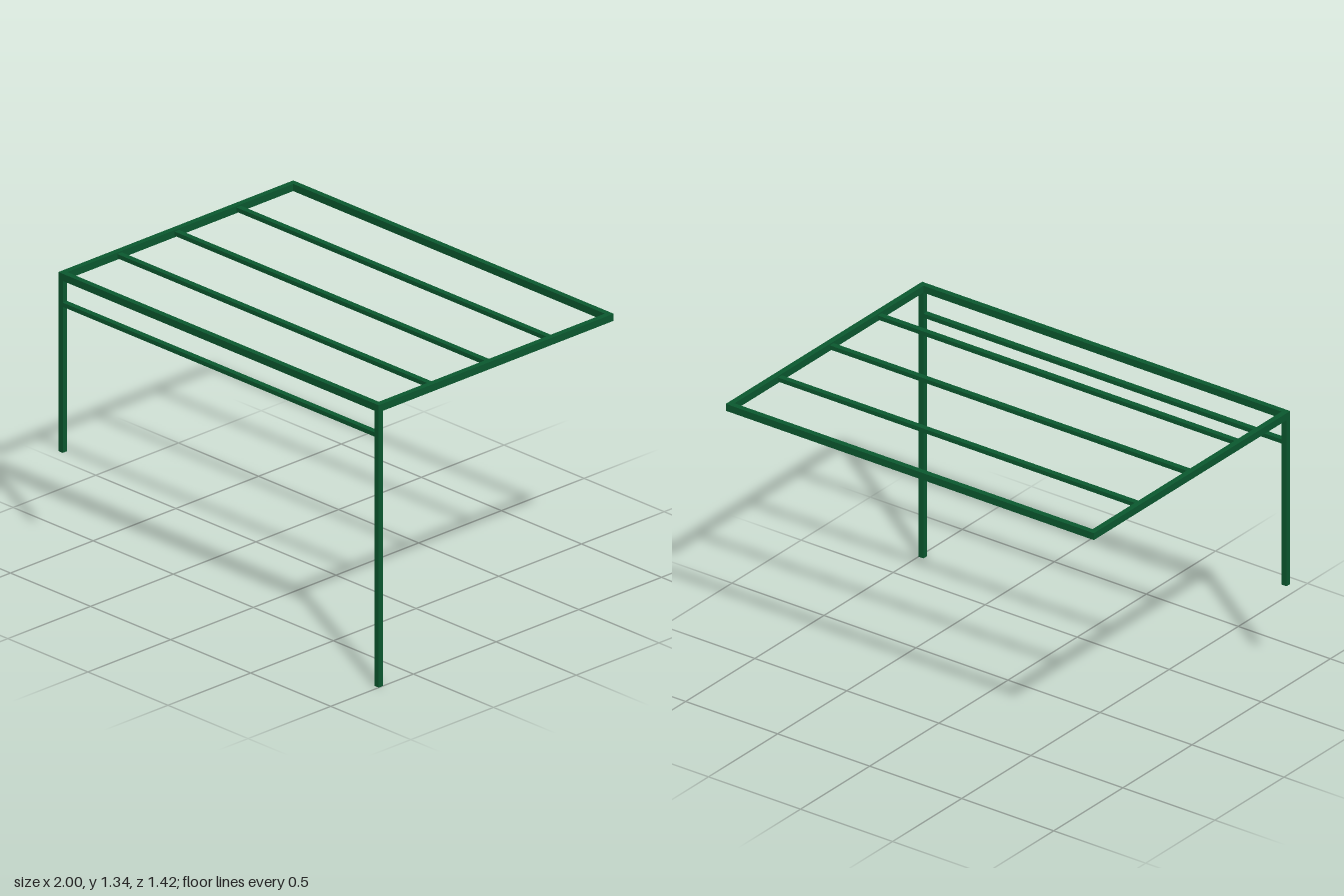
import * as THREE from 'three';

export function createModel() {
  const group = new THREE.Group();
  const green = new THREE.MeshStandardMaterial({ color: 0x0b5a30 });

  const W = 0.027;              // tube width
  const H = 0.034;              // roof frame height
  const BAR = 0.02;             // thin bar height
  const TOP = 1.34, DEPTH = 1.42;
  const under = TOP - H;        // underside of the roof frame
  const xEdge = 1 - W / 2, zEdge = DEPTH / 2 - W / 2;
  const inner = 2 - 2 * W;      // clear span between side members

  const box = (name, w, h, d, x, y, z) => {
    const mesh = new THREE.Mesh(new THREE.BoxGeometry(w, h, d), green);
    mesh.name = name;
    mesh.position.set(x, y, z);
    group.add(mesh);
  };

  // Roof frame: side beams run full depth, end beams fit between them
  for (const s of [-1, 1]) {
    box(s > 0 ? 'leftRoofBeam' : 'rightRoofBeam', W, H, DEPTH, s * xEdge, TOP - H / 2, 0);
    box(s > 0 ? 'frontRoofBeam' : 'backRoofBeam', inner, H, W, 0, TOP - H / 2, s * zEdge);
  }

  // Roof slats
  [-0.354, 0.02, 0.367].forEach((z, i) =>
    box(`roofSlat${i + 1}`, inner, BAR, W, 0, TOP - H / 2, z));

  // Front legs of unequal length: the right one stops above the ground
  const leg = (name, x, foot) =>
    box(name, W, under - foot, W, x, (under + foot) / 2, zEdge);
  leg('leftLeg', xEdge, 0);
  leg('rightLeg', -xEdge, 0.49);

  // Rail between the legs
  box('frontRail', inner, BAR, W, 0, 1.193, zEdge);

  return group;
}
